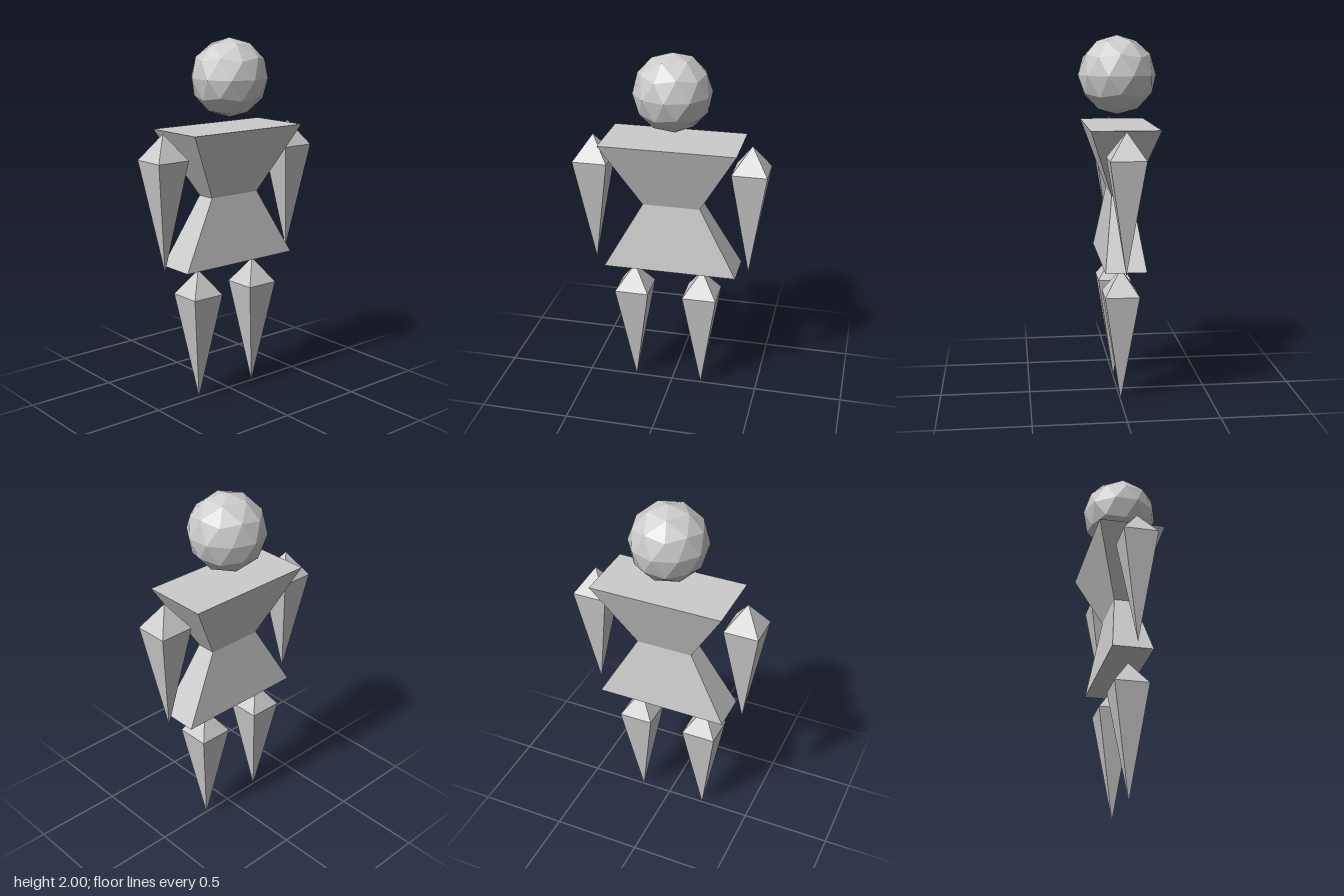
import * as THREE from 'three';

const grey = new THREE.MeshStandardMaterial({ color: 0xcccccc, flatShading: true });
grey.name = 'light grey';

// Closed loft through rectangular sections [y, halfWidth, halfDepth]; a zero size gives a point.
function loft(sections) {
  const positions = [];
  const index = [];
  for (const [y, w, d] of sections) {
    positions.push(-w, y, d, w, y, d, w, y, -d, -w, y, -d);
  }
  const quad = (a, b, c, d, low, high) => {
    if (low) index.push(a, b, c);
    if (high) index.push(a, c, d);
  };
  for (let s = 0; s < sections.length - 1; s++) {
    const lowOpen = sections[s][1] > 0;
    const highOpen = sections[s + 1][1] > 0;
    for (let i = 0; i < 4; i++) {
      const j = (i + 1) % 4;
      quad(s * 4 + i, s * 4 + j, s * 4 + 4 + j, s * 4 + 4 + i, lowOpen, highOpen);
    }
  }
  // End caps
  if (sections[0][1] > 0) index.push(0, 3, 2, 0, 2, 1);
  const t = (sections.length - 1) * 4;
  if (sections[sections.length - 1][1] > 0) index.push(t, t + 1, t + 2, t, t + 2, t + 3);

  const indexed = new THREE.BufferGeometry();
  indexed.setAttribute('position', new THREE.Float32BufferAttribute(positions, 3));
  indexed.setIndex(index);
  const geometry = indexed.toNonIndexed();
  geometry.computeVertexNormals();
  return geometry;
}

export function createModel() {
  const model = new THREE.Group();
  model.name = 'figure';

  const add = (name, geometry, x, y, z) => {
    const mesh = new THREE.Mesh(geometry, grey);
    mesh.name = name;
    mesh.position.set(x, y, z);
    model.add(mesh);
  };

  // Faceted ball head, turned so that one corner points straight up
  const ball = new THREE.IcosahedronGeometry(0.213, 1);
  ball.rotateZ(Math.atan(2 / (1 + Math.sqrt(5))));
  add('head', ball, 0.004, 1.787, 0);

  // Hourglass torso: hem, waist, shoulders
  add('torso', loft([[0.775, 0.373, 0.11], [1.15, 0.16, 0.055], [1.52, 0.373, 0.183]]), 0.005, 0, -0.008);

  // Four identical spike-shaped limbs
  const limb = loft([[0, 0, 0], [0.61, 0.096, 0.094], [0.75, 0, 0]]);
  add('leftArm', limb, 0.435, 0.773, -0.001);
  add('rightArm', limb, -0.441, 0.773, -0.001);
  add('leftLeg', limb, 0.174, 0, -0.001);
  add('rightLeg', limb, -0.217, 0, -0.001);

  return model;
}
